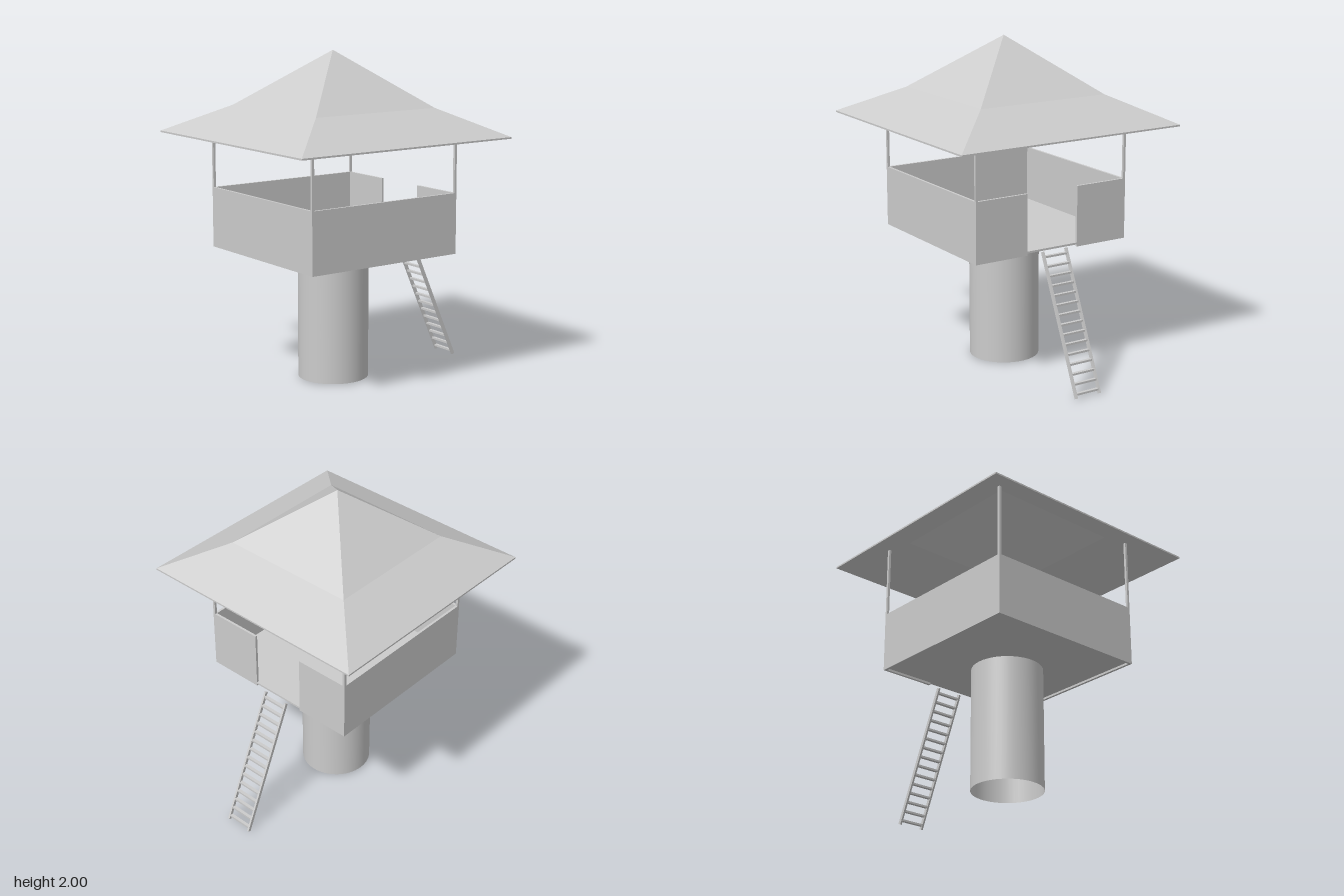
import * as THREE from 'three';

const mat = new THREE.MeshStandardMaterial({ color: 0xcccccc, side: THREE.DoubleSide });
const flatMat = new THREE.MeshStandardMaterial({ color: 0xcccccc, side: THREE.DoubleSide, flatShading: true });

function add(parent, name, geometry, x, y, z, material = mat) {
  const mesh = new THREE.Mesh(geometry, material);
  mesh.name = name;
  mesh.position.set(x, y, z);
  parent.add(mesh);
  return mesh;
}

const box = (w, h, d) => new THREE.BoxGeometry(w, h, d);

export function createModel() {
  const model = new THREE.Group();
  model.name = 'watchtower';

  // Tower body, centred slightly forward of the ladder
  const tower = new THREE.Group();
  tower.name = 'tower';
  tower.position.z = 0.08;
  model.add(tower);

  // Hollow supporting column
  add(tower, 'column', new THREE.CylinderGeometry(0.215, 0.215, 0.755, 48, 1, true), 0, 0.3875, 0);

  // Cabin: floor, parapet walls and a doorway in the back third
  const half = 0.525, t = 0.015, bottom = 0.79, top = 1.16;
  const h = top - bottom, midY = (top + bottom) / 2, edge = half - t / 2;
  add(tower, 'floor', box(2 * half - 2 * t, 0.012, 2 * half - t), 0, 0.809, -t / 2);
  add(tower, 'frontWall', box(2 * half, h, t), 0, midY, edge);
  for (const s of [-1, 1]) {
    add(tower, 'sideWall', box(t, h, 2 * half - 2 * t), s * edge, midY, 0);
    add(tower, 'backWall', box(0.35, h, t), s * 0.35, midY, -edge);
    // Corner posts reach up to the underside of the roof
    for (const f of [-1, 1]) {
      add(tower, 'cornerPost', box(t, 1.605 - top, t), s * edge, (1.605 + top) / 2, f * edge);
    }
  }

  // Square two-pitch roof shell: inner surface down, lip, outer surface up
  const profile = [[0, 1.985], [0.43, 1.652], [0.745, 1.49], [0.75, 1.49], [0.75, 1.5], [0.43, 1.665], [0, 2]]
    .map(([x, y]) => new THREE.Vector2(x * Math.SQRT2, y));
  const roof = new THREE.LatheGeometry(profile, 4, Math.PI / 4).toNonIndexed();
  roof.computeVertexNormals();
  add(tower, 'roof', roof, 0, 0, 0, flatMat);

  // Ladder leaning to the back doorway
  const ladder = new THREE.Group();
  ladder.name = 'ladder';
  model.add(ladder);
  const foot = new THREE.Vector2(-0.817, 0.009), head = new THREE.Vector2(-0.464, 0.803);
  const run = head.clone().sub(foot);
  const mid = foot.clone().add(head).multiplyScalar(0.5);
  for (const s of [-1, 1]) {
    const rail = add(ladder, 'ladderRail', box(0.012, run.length(), 0.02), s * 0.082, mid.y, mid.x);
    rail.rotation.x = Math.atan2(run.x, run.y);
  }
  const rungs = 15;
  for (let i = 0; i < rungs; i++) {
    const p = foot.clone().lerp(head, 0.03 + 0.935 * i / (rungs - 1));
    add(ladder, 'ladderRung', box(0.155, 0.012, 0.02), 0, p.y, p.x);
  }

  return model;
}
